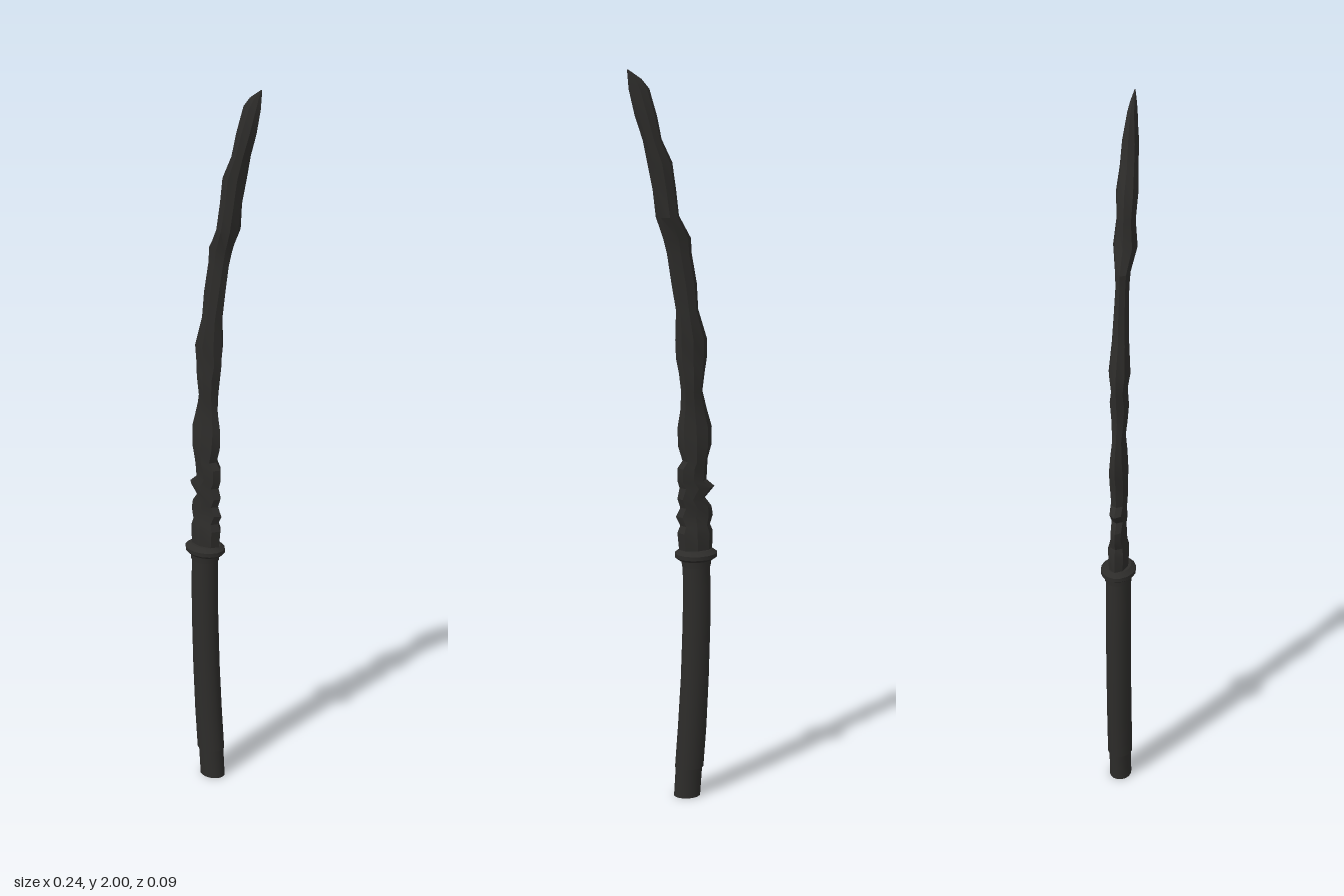
import * as THREE from 'three';
import { toCreasedNormals } from 'three/addons/utils/BufferGeometryUtils.js';

const dark = new THREE.MeshStandardMaterial({ color: 0x2d2c2a });

// Closed loft through elliptical sections: [y, left x, right x, half depth]
function loft(name, rows, sides, crease) {
  const pos = [], idx = [];
  for (const [y, a, b, d] of rows) {
    for (let i = 0; i < sides; i++) {
      const t = (i / sides) * Math.PI * 2;
      pos.push((a + b) / 2 + Math.cos(t) * (b - a) / 2, y, Math.sin(t) * d);
    }
  }
  for (let r = 0; r < rows.length - 1; r++) {
    for (let i = 0; i < sides; i++) {
      const j = (i + 1) % sides, p = r * sides, q = p + sides;
      idx.push(p + i, q + i, q + j, p + i, q + j, p + j);
    }
  }
  // end caps
  const top = (rows.length - 1) * sides;
  for (let i = 1; i < sides - 1; i++) {
    idx.push(0, i, i + 1, top, top + i + 1, top + i);
  }
  const geo = new THREE.BufferGeometry();
  geo.setAttribute('position', new THREE.Float32BufferAttribute(pos, 3));
  geo.setIndex(idx);
  const mesh = new THREE.Mesh(toCreasedNormals(geo, crease), dark);
  mesh.name = name;
  return mesh;
}

export function createModel() {
  const group = new THREE.Group();
  group.name = 'curvedSword';

  // Slightly bowed round grip
  group.add(loft('grip', [
    [0.085, -0.086, -0.006, 0.034], [0.2, -0.094, -0.014, 0.034],
    [0.34, -0.1, -0.022, 0.034], [0.5, -0.104, -0.027, 0.034],
    [0.6, -0.104, -0.028, 0.034], [0.69, -0.102, -0.026, 0.034],
  ], 16, 0.7));

  // Narrower end cap
  group.add(loft('pommel', [
    [0, -0.077, -0.003, 0.03], [0.09, -0.083, -0.008, 0.03],
  ], 16, 0.7));

  // Collar and disc guard
  group.add(loft('collar', [
    [0.665, -0.104, -0.025, 0.036], [0.69, -0.106, -0.022, 0.038],
  ], 16, 0.7));
  group.add(loft('guard', [
    [0.684, -0.112, -0.014, 0.04], [0.691, -0.122, -0.006, 0.047],
    [0.702, -0.122, -0.006, 0.047], [0.712, -0.108, -0.018, 0.034],
  ], 16, 0.5));

  // Gnarled blade with notched edges, swept toward +x at the tip
  group.add(loft('blade', [
    [0.7, -0.108, -0.018, 0.026], [0.76, -0.11, -0.012, 0.029],
    [0.78, -0.102, -0.02, 0.024], [0.805, -0.11, -0.008, 0.019],
    [0.83, -0.106, -0.02, 0.02], [0.855, -0.088, -0.012, 0.021],
    [0.885, -0.114, -0.018, 0.022], [0.905, -0.092, -0.012, 0.022],
    [0.94, -0.094, -0.012, 0.024], [0.96, -0.094, -0.026, 0.025],
    [1.0, -0.105, -0.014, 0.026], [1.05, -0.106, -0.012, 0.022],
    [1.1, -0.092, -0.02, 0.017], [1.15, -0.08, -0.022, 0.022],
    [1.2, -0.086, -0.016, 0.026], [1.24, -0.092, -0.008, 0.021],
    [1.29, -0.092, -0.006, 0.029], [1.37, -0.068, -0.008, 0.023],
    [1.44, -0.064, 0.004, 0.02], [1.52, -0.05, 0.016, 0.018],
    [1.56, -0.048, 0.026, 0.02], [1.62, -0.016, 0.046, 0.032],
    [1.69, -0.008, 0.054, 0.025], [1.76, 0.002, 0.068, 0.029],
    [1.82, 0.03, 0.08, 0.024], [1.88, 0.042, 0.1, 0.022],
    [1.95, 0.062, 0.116, 0.013], [1.975, 0.082, 0.118, 0.008],
    [2.0, 0.117, 0.12, 0.001],
  ], 8, 0.35));

  return group;
}
